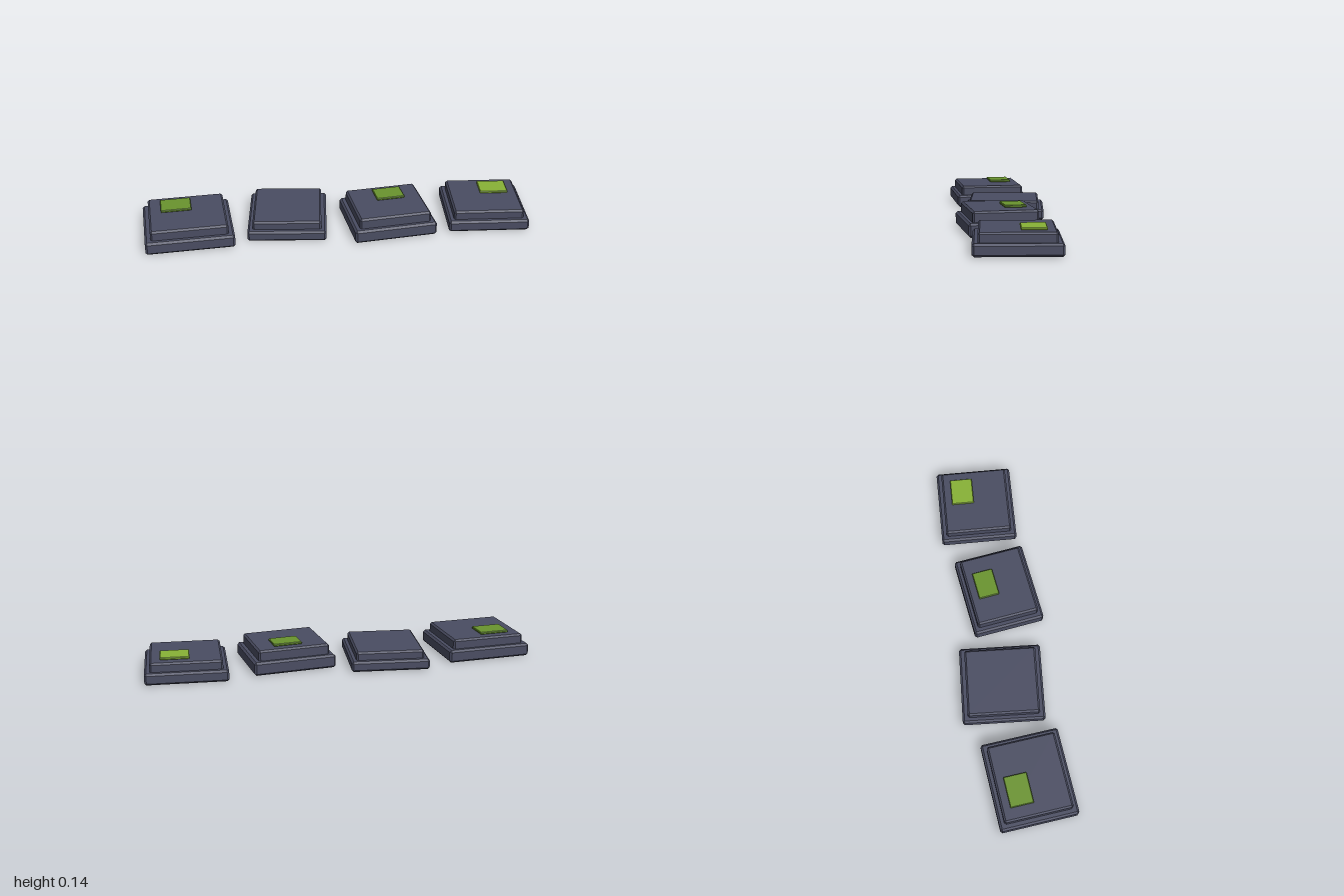
import * as THREE from 'three';
import { ConvexGeometry } from 'three/addons/geometries/ConvexGeometry.js';

// Box with a single flat chamfer of size b on every edge and corner
function chamferBox(w, h, d, b) {
  const points = [];
  for (const sx of [-1, 1]) for (const sy of [-1, 1]) for (const sz of [-1, 1]) {
    const x = sx * w / 2, y = sy * h / 2, z = sz * d / 2;
    points.push(
      new THREE.Vector3(x, y - sy * b, z - sz * b),
      new THREE.Vector3(x - sx * b, y, z - sz * b),
      new THREE.Vector3(x - sx * b, y - sy * b, z));
  }
  return new ConvexGeometry(points);
}

function material(name, color) {
  const m = new THREE.MeshStandardMaterial({ color });
  m.name = name;
  return m;
}

export function createModel() {
  const slate = material('slate', 0x4a4d62);
  const moss = material('moss', 0x6a942e);
  const lightMoss = material('lightMoss', 0x88b236);

  // Slab position, size, turn, tier heights and the patch lying on top
  const slabs = [
    { x: -0.766, z: 0.035, w: 0.446, d: 0.4, turn: 0.08, base: 0.066, top: 0.115,
      patch: { x: -0.825, z: -0.031, w: 0.155, d: 0.118, mat: moss } },
    { x: -0.25, z: -0.024, w: 0.4, d: 0.422, turn: -0.09, base: 0.054, top: 0.096 },
    { x: 0.264, z: 0.039, w: 0.427, d: 0.373, turn: 0.12, base: 0.069, top: 0.122,
      patch: { x: 0.277, z: -0.028, w: 0.147, d: 0.108, mat: moss } },
    { x: 0.782, z: -0.006, w: 0.413, d: 0.403, turn: -0.055, base: 0.059, top: 0.104,
      patch: { x: 0.841, z: -0.074, w: 0.145, d: 0.118, mat: lightMoss } },
  ];

  const model = new THREE.Group();
  model.name = 'steppingStones';

  slabs.forEach((s, i) => {
    const stone = new THREE.Group();
    stone.name = `stone${i + 1}`;
    model.add(stone);

    const add = (name, mat, x, z, w, d, y0, y1, b) => {
      const mesh = new THREE.Mesh(chamferBox(w, y1 - y0, d, b), mat);
      mesh.name = name;
      mesh.position.set(x, (y0 + y1) / 2, z);
      mesh.rotation.y = s.turn;
      stone.add(mesh);
    };

    // Wide lower tier, narrower upper tier sunk slightly into it
    add('lowerSlab', slate, s.x, s.z, s.w, s.d, 0, s.base, 0.01);
    add('upperSlab', slate, s.x, s.z, s.w * 0.87, s.d * 0.87, s.base - 0.01, s.top, 0.009);

    // Thin moss patch
    const p = s.patch;
    if (p) add('mossPatch', p.mat, p.x, p.z, p.w, p.d, s.top + 0.001, s.top + 0.0135, 0.003);
  });

  return model;
}
